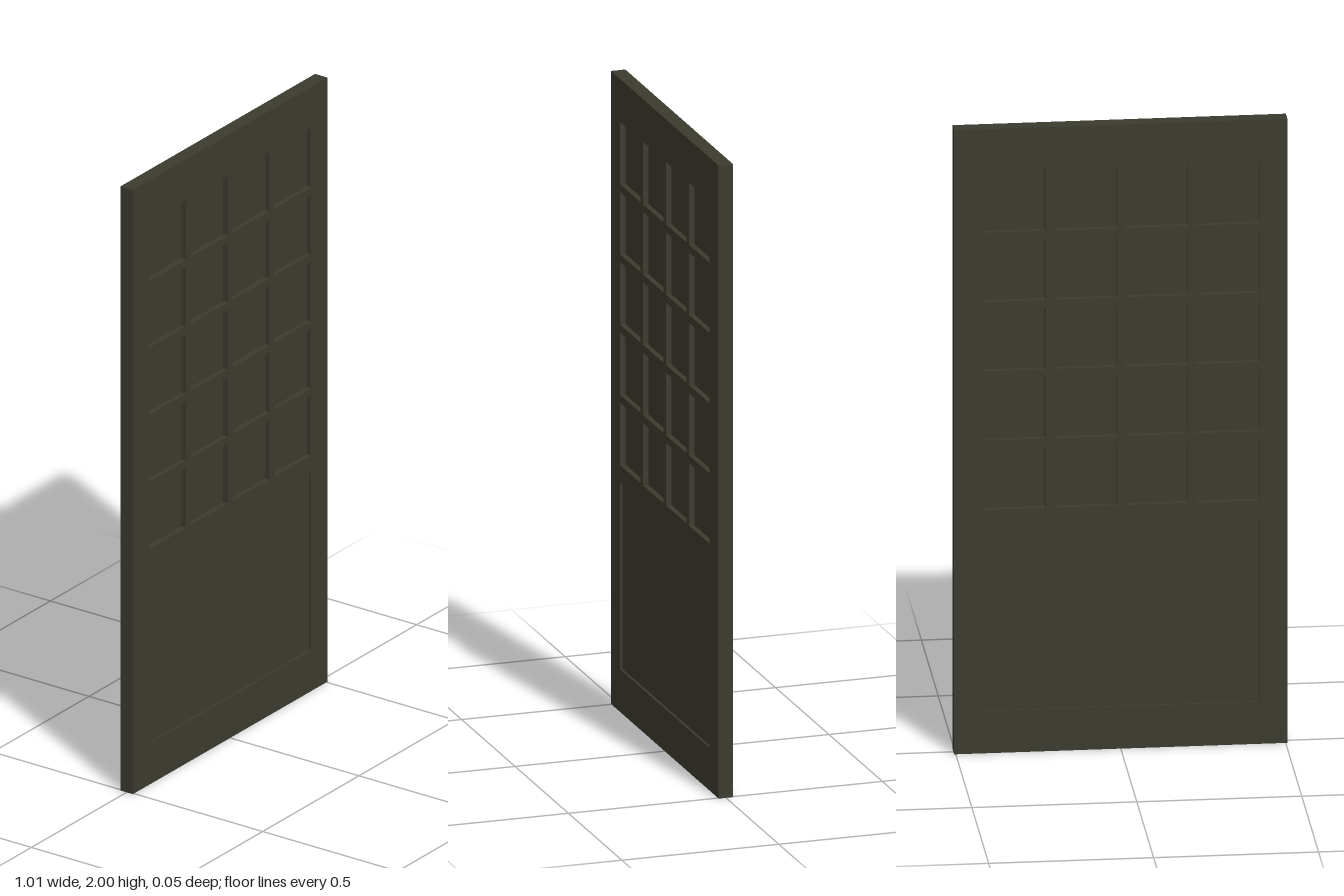
import * as THREE from 'three';

const WIDTH = 1.01, HEIGHT = 2, DEPTH = 0.046;
const OPEN_X = 0.42, BAR = 0.025;
const GLAZING = { bottom: 0.78, top: 1.865, cols: 4, rows: 5 };
const PANEL = { bottom: 0.135, top: 0.725 };

function rect(target, x0, y0, x1, y1) {
  target.moveTo(x0, y0);
  target.lineTo(x1, y0);
  target.lineTo(x1, y1);
  target.lineTo(x0, y1);
  target.closePath();
  return target;
}

export function createModel() {
  const door = new THREE.Group();
  door.name = 'door';
  const paint = new THREE.MeshStandardMaterial({ color: 0x3c3b2f });
  paint.name = 'dark olive paint';

  // Frame with glazing bars: one slab pierced by the openings
  const slab = rect(new THREE.Shape(), -WIDTH / 2, 0, WIDTH / 2, HEIGHT);
  const { bottom, top, cols, rows } = GLAZING;
  const paneW = (2 * OPEN_X - BAR * (cols - 1)) / cols;
  const paneH = (top - bottom - BAR * (rows - 1)) / rows;
  for (let c = 0; c < cols; c++) {
    for (let r = 0; r < rows; r++) {
      const x = -OPEN_X + c * (paneW + BAR);
      const y = bottom + r * (paneH + BAR);
      slab.holes.push(rect(new THREE.Path(), x, y, x + paneW, y + paneH));
    }
  }
  slab.holes.push(rect(new THREE.Path(), -OPEN_X, PANEL.bottom, OPEN_X, PANEL.top));
  const frameGeometry = new THREE.ExtrudeGeometry(slab, { depth: DEPTH, bevelEnabled: false });
  frameGeometry.translate(0, 0, -DEPTH / 2);
  const frame = new THREE.Mesh(frameGeometry, paint);
  frame.name = 'frame';
  door.add(frame);

  // Recessed sheets filling the openings, set back equally on both faces
  const addSheet = (name, y0, y1, thickness) => {
    const sheet = new THREE.Mesh(new THREE.BoxGeometry(2 * OPEN_X, y1 - y0, thickness), paint);
    sheet.position.y = (y0 + y1) / 2;
    sheet.name = name;
    door.add(sheet);
  };
  addSheet('windowPanes', bottom, top, 0.012);
  addSheet('lowerPanel', PANEL.bottom, PANEL.top, 0.03);

  return door;
}
